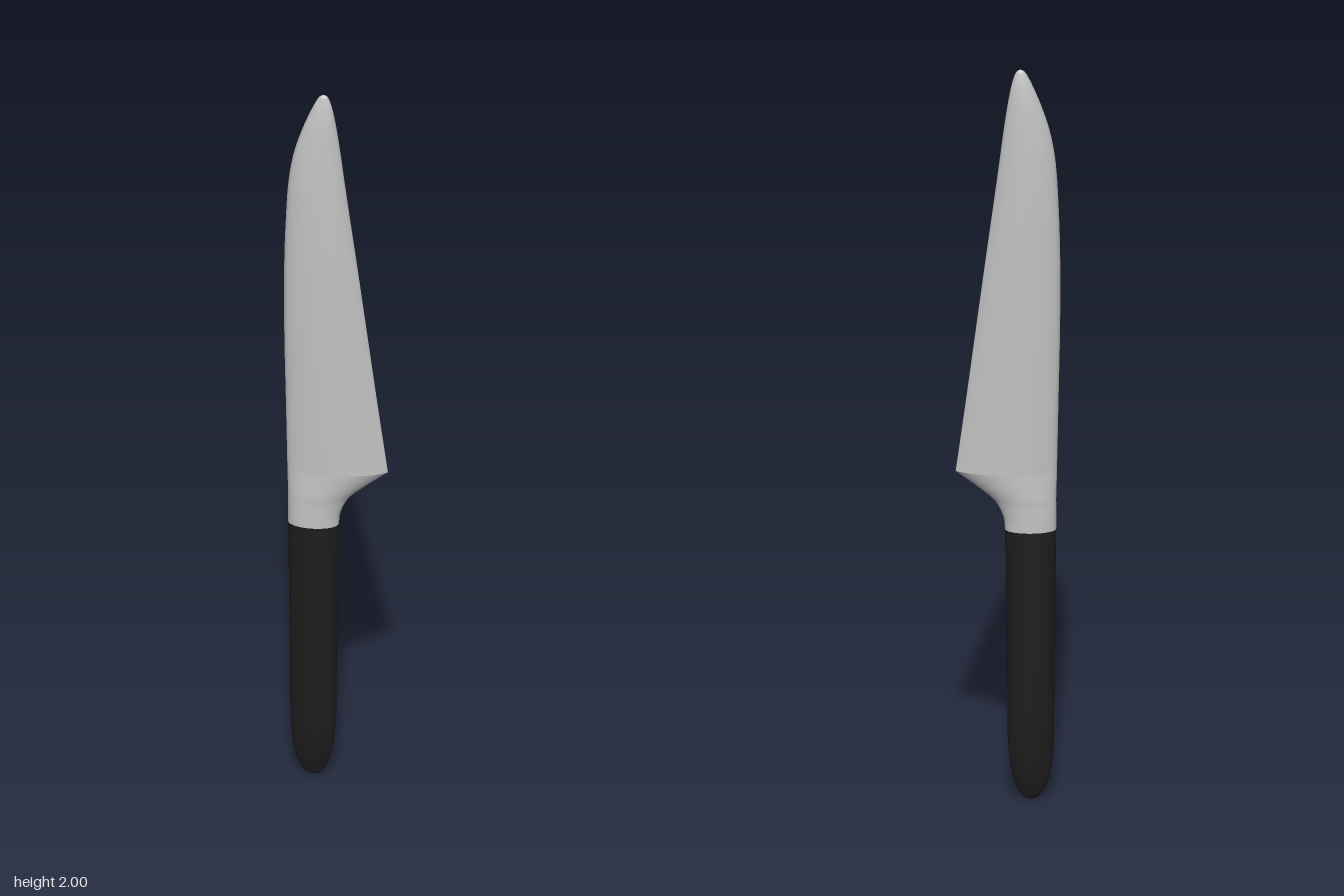
import * as THREE from 'three';

const SIDES = 48, STEPS = 6;

// Loft through sections [y, spine x, edge x, half thickness, edge sharpness]
function loft(name, sections, material) {
  const n = sections.length;
  const curve = (pick) => new THREE.CatmullRomCurve3(sections.map(pick), false, 'catmullrom', 0.5);
  const outline = curve(([y, l, r]) => new THREE.Vector3(l, y, r));
  const thickness = curve(([, , , d, p]) => new THREE.Vector3(d, p, 0));
  const rows = (n - 1) * STEPS;
  const positions = [], index = [];
  for (let j = 0; j <= rows; j++) {
    const { x: l, y, z: r } = outline.getPoint(j / rows);
    const { x: d, y: p } = thickness.getPoint(j / rows);
    const sharpness = Math.max(0, p); // the spline may dip below zero
    for (let i = 0; i < SIDES; i++) {
      const a = (i / SIDES) * Math.PI * 2;
      const c = Math.cos(a), s = Math.sin(a);
      // the cutting side tapers more sharply than the spine
      const taper = c > 0 ? Math.pow(Math.abs(s), sharpness) : 1;
      positions.push((l + r) / 2 + c * (r - l) / 2, y, d * s * taper);
      if (j < rows) {
        const k = (i + 1) % SIDES, b = j * SIDES;
        index.push(b + i, b + SIDES + i, b + k, b + k, b + SIDES + i, b + SIDES + k);
      }
    }
  }
  const g = new THREE.BufferGeometry();
  g.setAttribute('position', new THREE.Float32BufferAttribute(positions, 3));
  g.setIndex(index);
  g.computeVertexNormals();
  const mesh = new THREE.Mesh(g, material);
  mesh.name = name;
  return mesh;
}

export function createModel() {
  const steel = new THREE.MeshStandardMaterial({ color: 0xc2c2c2 });
  steel.name = 'brushed steel';
  const black = new THREE.MeshStandardMaterial({ color: 0x1c1c1c });
  black.name = 'black grip';

  const group = new THREE.Group();
  group.name = 'kitchenKnife';

  // Grip with a rounded butt
  group.add(loft('handle', [
    [0, -0.06, -0.06, 0, 0],
    [0.005, -0.076, -0.044, 0.007, 0],
    [0.02, -0.09, -0.031, 0.013, 0],
    [0.05, -0.104, -0.018, 0.02, 0],
    [0.1, -0.114, -0.007, 0.027, 0],
    [0.18, -0.119, -0.001, 0.032, 0],
    [0.3, -0.12, 0.0, 0.034, 0],
    [0.5, -0.122, 0.002, 0.035, 0],
    [0.74, -0.125, 0.006, 0.035, 0],
  ], black));

  // Neck flaring out to the heel
  group.add(loft('neck', [
    [0.74, -0.125, 0.006, 0.035, 0],
    [0.765, -0.125, 0.008, 0.035, 0.02],
    [0.785, -0.125, 0.014, 0.035, 0.08],
    [0.808, -0.125, 0.025, 0.035, 0.2],
    [0.828, -0.125, 0.041, 0.036, 0.35],
    [0.862, -0.126, 0.082, 0.036, 0.55],
    [0.9, -0.127, 0.132, 0.036, 0.7],
  ], steel));

  // Blade from heel to tip
  group.add(loft('blade', [
    [0.9, -0.127, 0.132, 0.036, 0.7],
    [1.1, -0.131, 0.105, 0.037, 0.65],
    [1.3, -0.135, 0.079, 0.037, 0.6],
    [1.5, -0.135, 0.053, 0.036, 0.5],
    [1.65, -0.13, 0.033, 0.034, 0.4],
    [1.75, -0.123, 0.02, 0.031, 0.3],
    [1.83, -0.109, 0.01, 0.027, 0.2],
    [1.9, -0.087, 0.0, 0.022, 0.1],
    [1.95, -0.067, -0.009, 0.016, 0],
    [1.98, -0.053, -0.017, 0.01, 0],
    [1.994, -0.044, -0.024, 0.006, 0],
    [2, -0.033, -0.033, 0, 0],
  ], steel));

  return group;
}
